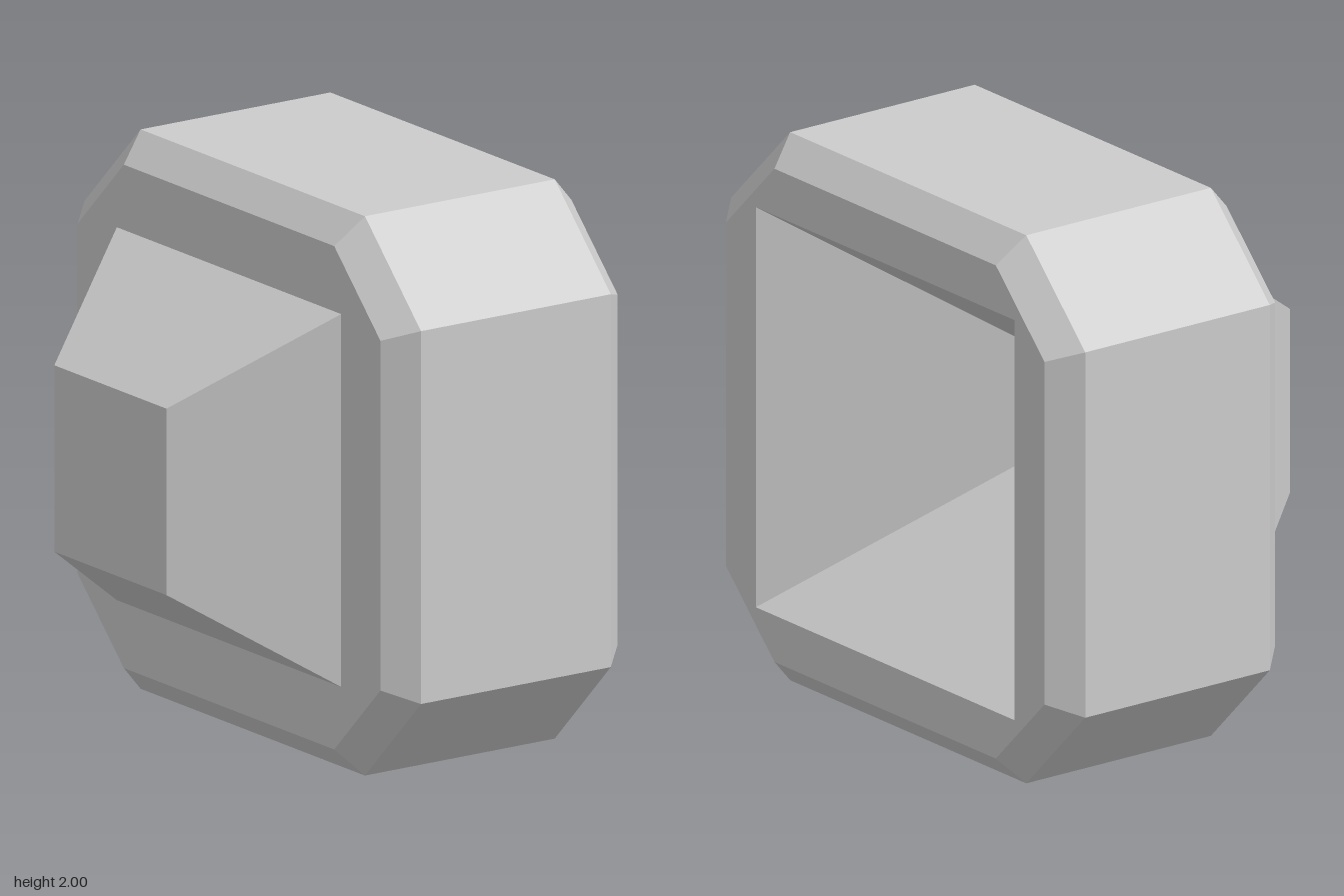
import * as THREE from 'three';

const material = new THREE.MeshStandardMaterial({ color: 0xcccccc, flatShading: true });
const CORNER = Math.SQRT2 - 1;

// Counter-clockwise outlines in the xy plane
const square = (h) => [[h, -h], [h, h], [-h, h], [-h, -h]];
function octagon(inset) {
  const h = 1 - inset;
  const c = 2 / 3 - inset * CORNER;
  return [[h, -c], [h, c], [c, h], [-c, h], [-h, c], [-h, -c], [-c, -h], [c, -h]];
}

// Flat-faced skin through [outline, z] sections; falling z turns it inside out
function loft(sections) {
  const pos = [];
  for (let s = 0; s < sections.length - 1; s++) {
    const [lo, z0] = sections[s];
    const [hi, z1] = sections[s + 1];
    for (let i = 0; i < lo.length; i++) {
      const j = (i + 1) % lo.length;
      const a = [...lo[i], z0], b = [...lo[j], z0];
      const c = [...hi[j], z1], d = [...hi[i], z1];
      const same = (p, q) => p[0] === q[0] && p[1] === q[1];
      if (!same(a, b)) pos.push(...a, ...b, ...c);
      if (!same(c, d)) pos.push(...a, ...c, ...d);
    }
  }
  const geometry = new THREE.BufferGeometry();
  geometry.setAttribute('position', new THREE.Float32BufferAttribute(pos, 3));
  geometry.computeVertexNormals();
  return geometry;
}

// Flat plate facing +z, with an optional hole
function plate(outline, hole) {
  const points = (list) => list.map(([x, y]) => new THREE.Vector2(x, y));
  const shape = new THREE.Shape(points(outline));
  if (hole) shape.holes.push(new THREE.Path(points(hole).reverse()));
  return new THREE.ShapeGeometry(shape);
}

export function createModel() {
  const model = new THREE.Group();
  model.name = 'octagonalBlock';
  const add = (name, geometry) => {
    const mesh = new THREE.Mesh(geometry, material);
    mesh.name = name;
    mesh.position.y = 1;
    model.add(mesh);
  };

  // Octagonal rim with chamfered front and back edges
  add('body', loft([
    [octagon(0.1), -0.75], [octagon(0), -0.65], [octagon(0), 0.15], [octagon(0.1), 0.25],
  ]));
  add('frontFace', plate(octagon(0.1), square(2 / 3)).translate(0, 0, 0.25));
  add('backFace', plate(octagon(0.1), square(0.73)).rotateY(Math.PI).translate(0, 0, -0.75));

  // Truncated pyramid on the front
  add('frontPlug', loft([[square(2 / 3), 0.25], [square(1 / 3), 0.75]]));
  add('plugTip', plate(square(1 / 3)).translate(0, 0, 0.75));

  // Pyramid-shaped hollow in the back
  add('backSocket', loft([[square(0), 0.35], [square(0.73), -0.75]]));

  return model;
}
